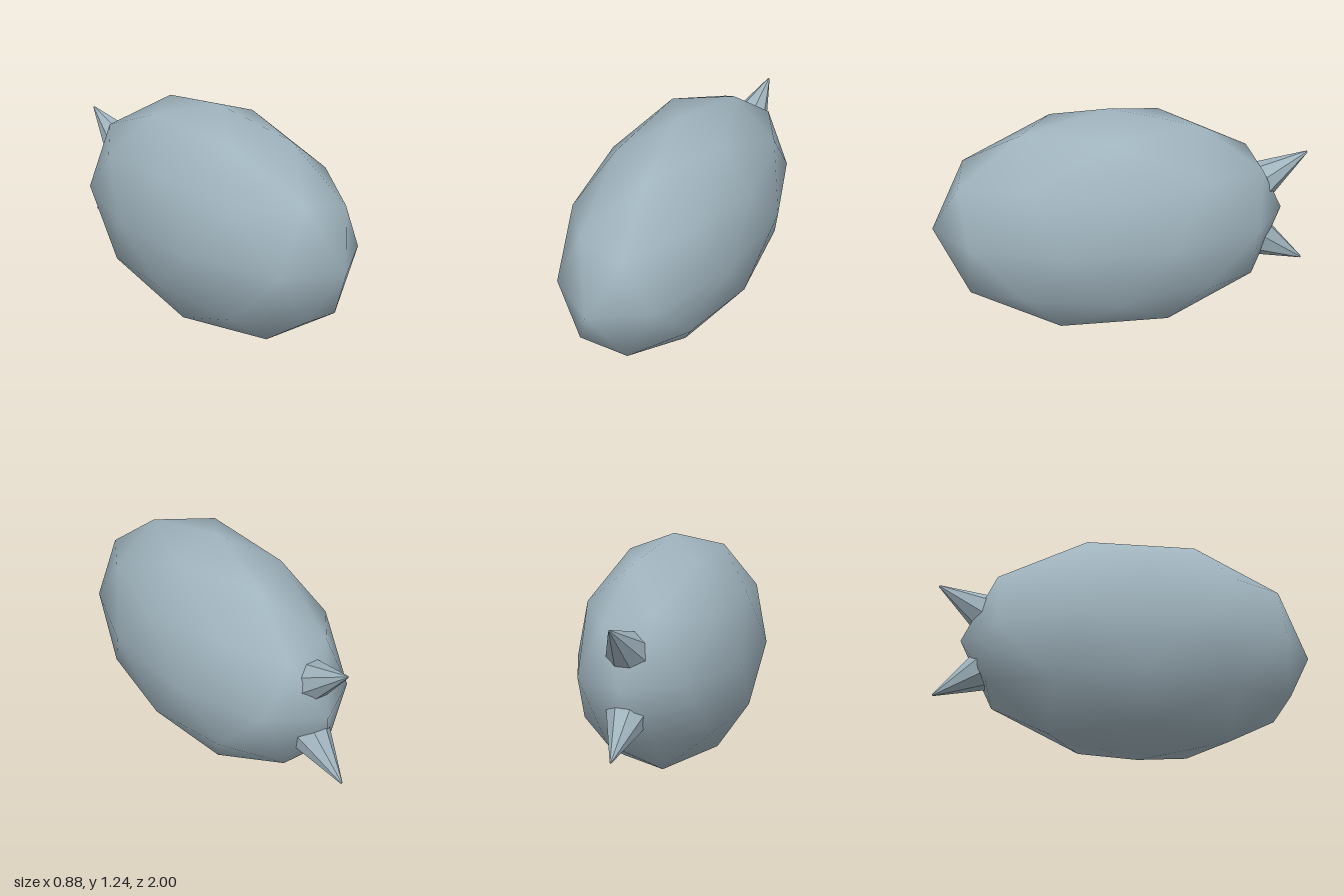
import * as THREE from 'three';

export function createModel() {
  const group = new THREE.Group();
  const blueGrey = new THREE.MeshStandardMaterial({ color: 0xa0b4be });
  blueGrey.name = 'blueGrey';
  const midY = 0.625;

  // Body: smooth icosphere with a vertex at the top, stretched along z
  const bodyGeo = new THREE.IcosahedronGeometry(1, 1);
  bodyGeo.rotateX(-Math.atan2(1 + Math.sqrt(5), 2));
  bodyGeo.rotateY(Math.PI / 2);
  bodyGeo.scale(0.465, 0.622, 0.935);
  const body = new THREE.Mesh(bodyGeo, blueGrey);
  body.name = 'body';
  body.position.set(0, midY, 0.065);
  group.add(body);

  // Rear spikes: faceted cones leaning up and down, sunk into the body
  const length = 0.4;
  const tilt = THREE.MathUtils.degToRad(31);
  for (const side of [1, -1]) {
    const geo = new THREE.CylinderGeometry(0.005, 0.145, length, 8)
      .rotateY(Math.PI / 8)
      .translate(0, -length / 2, 0)
      .toNonIndexed();
    geo.computeVertexNormals();
    const spike = new THREE.Mesh(geo, blueGrey);
    spike.name = side > 0 ? 'upperSpike' : 'lowerSpike';
    spike.rotation.x = -Math.PI / 2 + side * tilt;
    spike.position.set(0, midY + side * 0.317, -0.998);
    group.add(spike);
  }

  return group;
}
